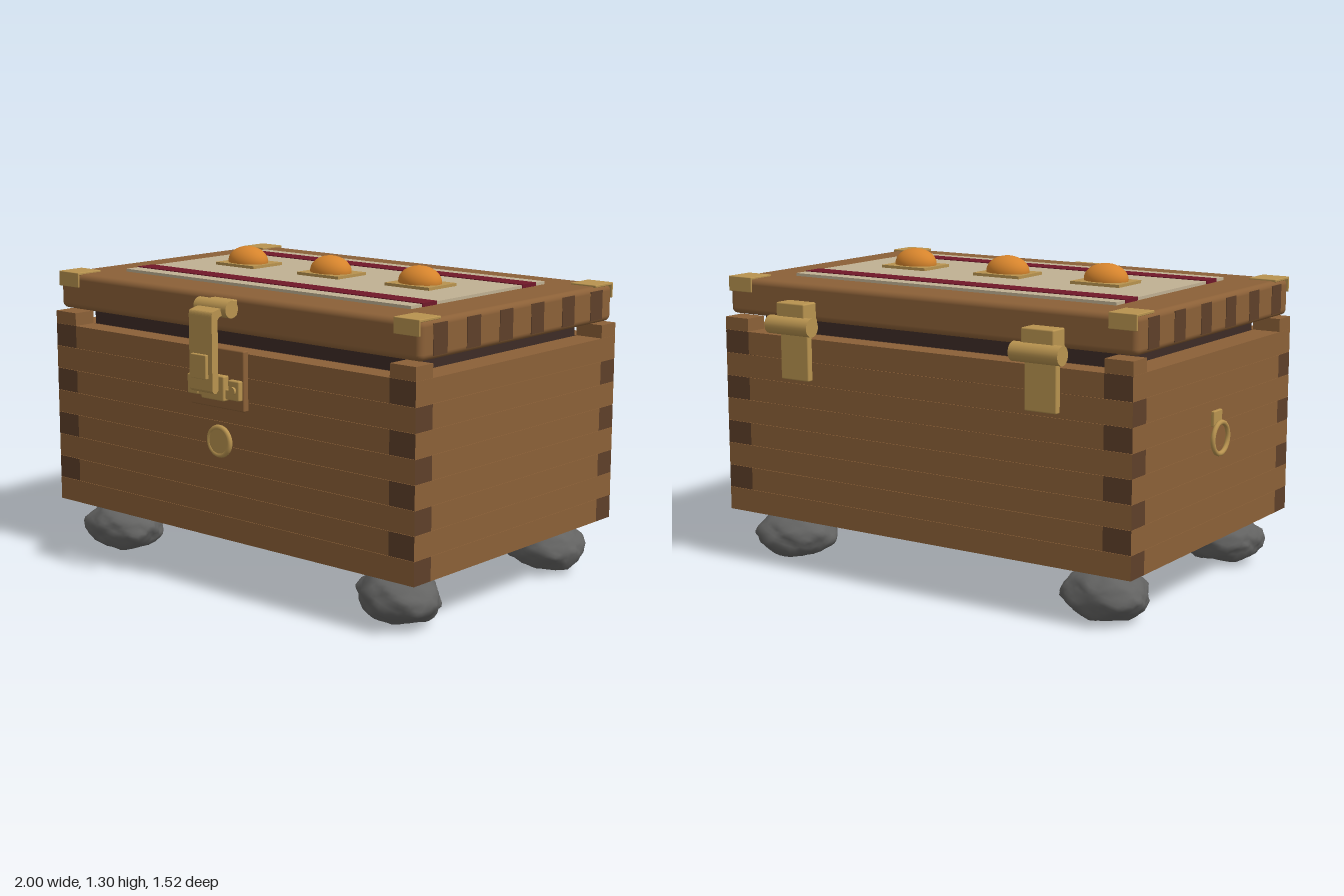
import * as THREE from 'three';
import { RoundedBoxGeometry } from 'three/addons/geometries/RoundedBoxGeometry.js';
import { mergeVertices } from 'three/addons/utils/BufferGeometryUtils.js';

const mat = (name, color) => {
  const m = new THREE.MeshStandardMaterial({ color });
  m.name = name;
  return m;
};

export function createModel() {
  const wood = mat('wood', 0x8b6037);
  const endGrain = mat('end grain', 0x5e4029);
  const shadowWood = mat('collar wood', 0x3d2b26);
  const brass = mat('brass', 0xb8934f);
  const cloth = mat('cloth', 0xc0b092);
  const red = mat('red stripe', 0x701729);
  const amber = mat('amber', 0xd6842c);
  const stone = mat('stone', 0x636362);

  const root = new THREE.Group();
  root.name = 'chest';
  const group = (name) => {
    const g = new THREE.Group();
    g.name = name;
    root.add(g);
    return g;
  };
  const add = (parent, name, geo, material, x = 0, y = 0, z = 0) => {
    const m = new THREE.Mesh(geo, material);
    m.name = name;
    m.position.set(x, y, z);
    parent.add(m);
    return m;
  };
  // Box given by its min and max on each axis, optionally with rounded edges
  const box = (parent, name, material, x0, x1, y0, y1, z0, z1, r = 0) => {
    const s = [x1 - x0, y1 - y0, z1 - z0];
    const geo = r ? new RoundedBoxGeometry(...s, 3, r) : new THREE.BoxGeometry(...s);
    return add(parent, name, geo, material, (x0 + x1) / 2, (y0 + y1) / 2, (z0 + z1) / 2);
  };
  const rod = (parent, name, material, r, len, axis, x, y, z, seg = 24) => {
    const geo = new THREE.CylinderGeometry(r, r, len, seg);
    if (axis === 'x') geo.rotateZ(Math.PI / 2);
    if (axis === 'z') geo.rotateX(Math.PI / 2);
    return add(parent, name, geo, material, x, y, z);
  };

  // Outer limits of the body
  const L = -0.965, R = 0.997, F = 0.63, B = -0.68, TX = 0.122, TZ = 0.1;
  const Y0 = 0.22, P = 0.0965, gap = 0.0006;

  // Interlocking plank walls with hairline seams around a core
  const body = group('body');
  box(body, 'core', endGrain, L + 0.004, R - 0.004, Y0 + 0.003, 0.99, B + 0.004, F - 0.004);
  const endsX = [endGrain, endGrain, wood, wood, wood, wood];
  const endsZ = [wood, wood, wood, wood, endGrain, endGrain];
  for (let i = 0; i < 8; i++) {
    const a = Y0 + i * P + (i ? gap : 0), b = Y0 + (i + 1) * P - gap;
    const long = i % 2 === 0;
    const ix = long ? 0 : TX, iz = long ? TZ : 0;
    box(body, 'frontPlank', long ? endsX : wood, L + ix, R - ix, a, b, F - TZ, F);
    box(body, 'backPlank', long ? endsX : wood, L + ix, R - ix, a, b, B, B + TZ);
    box(body, 'leftPlank', long ? wood : endsZ, R - TX, R, a, b, B + iz, F - iz);
    box(body, 'rightPlank', long ? wood : endsZ, L, L + TX, a, b, B + iz, F - iz);
  }
  for (const x of [L, R - TX]) for (const z of [B, F - TZ])
    box(body, 'cornerPost', wood, x, x + TX, 0.992, 1.046, z, z + TZ);
  box(body, 'collar', shadowWood, L + 0.122, R - 0.122, 0.98, 1.05, -0.565, 0.517);

  // Base board
  box(group('base'), 'baseBoard', wood, -0.885, 0.915, 0.184, 0.222, -0.58, 0.535, 0.012);

  // Rough stone feet: rounded lumps with a few sizes of bump
  const rock = (seed) => {
    const ball = new THREE.IcosahedronGeometry(1, 7);
    ball.deleteAttribute('uv');
    ball.deleteAttribute('normal');
    const geo = mergeVertices(ball);
    const p = geo.attributes.position, v = new THREE.Vector3();
    const bump = (f, s) => Math.sin(f * v.x + s) * Math.sin(f * v.y + 1.7 * s) * Math.sin(f * v.z + 2.3 * s);
    for (let i = 0; i < p.count; i++) {
      v.fromBufferAttribute(p, i).normalize();
      const k = 1.02 + 0.1 * bump(2.6, seed) + 0.06 * bump(6, seed + 1) + 0.04 * bump(12, seed + 2);
      p.setXYZ(i, v.x * k * 0.178, v.y * k * 0.1, v.z * k * 0.148);
    }
    geo.computeVertexNormals();
    geo.computeBoundingBox();
    return geo.translate(0, -geo.boundingBox.min.y, 0);
  };
  const feet = group('feet');
  [[-0.757, 0.455], [0.787, 0.455], [-0.757, -0.505], [0.787, -0.505]].forEach(([x, z], i) =>
    add(feet, 'stoneFoot', rock(1 + i * 1.7), stone, x, 0, z));

  // Lid with dark joints on both ends
  const lid = group('lid');
  box(lid, 'lidSlab', wood, L, R, 1.057, 1.208, -0.65, 0.603, 0.025);
  for (const z of [0.49, 0.288, 0.083, -0.122, -0.333, -0.533])
    for (const x of [L, R])
      box(lid, 'lidJoint', endGrain, x - 0.002, x + 0.002, 1.073, 1.192, z - 0.042, z + 0.042);

  // Brass corner caps: top plate with flaps folded over the edge
  for (const x of [L, R - 0.124]) for (const s of [1, -1]) {
    const edge = s > 0 ? 0.61 : -0.657, inner = edge - s * 0.128;
    const x1 = x + 0.122;
    box(lid, 'cornerCap', brass, x, x1, 1.204, 1.215, Math.min(edge, inner), Math.max(edge, inner), 0.003);
    const e2 = edge - s * 0.008;
    box(lid, 'cornerFlap', brass, x, x1, 1.152, 1.214, Math.min(edge, e2), Math.max(edge, e2), 0.003);
  }

  // Striped runner on the lid, the stripes wrapping its short ends
  const runner = group('runner');
  box(runner, 'cloth', cloth, -0.765, 0.79, 1.203, 1.22, -0.465, 0.405);
  for (const [a, b] of [[-0.4, -0.308], [0.25, 0.338]])
    box(runner, 'stripe', red, -0.767, 0.792, 1.204, 1.223, a, b);

  // Three mounted amber stones
  const gems = group('gems');
  for (const x of [-0.46, 0.015, 0.489]) {
    box(gems, 'gemPlate', brass, x - 0.113, x + 0.113, 1.215, 1.232, -0.12, 0.058);
    const g = add(gems, 'gem', new THREE.SphereGeometry(1, 32, 20), amber, x, 1.238, -0.028);
    g.scale.set(0.096, 0.064, 0.073);
  }

  // Front latch
  const latch = group('latch');
  box(latch, 'backPlate', wood, -0.132, 0.162, 0.763, 1.005, 0.625, 0.655, 0.006);
  box(latch, 'catchBar', brass, -0.132, 0.155, 0.808, 0.848, 0.65, 0.672, 0.005);
  for (const x of [-0.1, 0.125]) {
    box(latch, 'catchLug', brass, x - 0.03, x + 0.03, 0.808, 0.888, 0.65, 0.676, 0.006);
    rod(latch, 'catchBolt', brass, 0.016, 0.012, 'z', x, 0.848, 0.68, 16);
  }
  box(latch, 'staple', brass, -0.045, 0.08, 0.8, 0.9, 0.65, 0.684, 0.006);
  box(latch, 'lidMount', brass, -0.045, 0.08, 1.13, 1.195, 0.598, 0.64, 0.006);
  rod(latch, 'latchBarrel', brass, 0.035, 0.176, 'x', 0.018, 1.165, 0.66);
  // Hasp strip bends forward from the barrel, then hangs straight down
  const h = new THREE.Shape();
  h.moveTo(0.66, 1.178);
  h.lineTo(0.735, 1.162);
  h.quadraticCurveTo(0.745, 1.16, 0.745, 1.14);
  h.lineTo(0.745, 0.85);
  h.quadraticCurveTo(0.728, 0.825, 0.712, 0.85);
  h.lineTo(0.712, 1.125);
  h.quadraticCurveTo(0.71, 1.14, 0.66, 1.15);
  const hasp = new THREE.ExtrudeGeometry(h, { depth: 0.125, bevelEnabled: false, curveSegments: 8 });
  hasp.rotateY(-Math.PI / 2); // profile x becomes z, thickness runs to -x
  add(latch, 'hasp', hasp, brass, 0.08, 0, 0);
  box(latch, 'haspStud', brass, -0.026, 0.058, 0.895, 0.992, 0.74, 0.759, 0.004);

  // Round lock button
  const lock = group('lock');
  rod(lock, 'lockDisc', brass, 0.052, 0.026, 'z', 0.015, 0.625, 0.638, 32);
  add(lock, 'lockRim', new THREE.TorusGeometry(0.056, 0.011, 10, 36), brass, 0.015, 0.625, 0.643);

  // Pull ring on the right end
  const ring = group('pullRing');
  box(ring, 'ringPlate', brass, -0.979, -0.963, 0.695, 0.758, -0.065, 0.005, 0.004);
  const loop = add(ring, 'ring', new THREE.TorusGeometry(0.063, 0.01, 10, 36), brass, -0.99, 0.648, -0.03);
  loop.rotation.y = Math.PI / 2;

  // Back hinges
  const hinges = group('hinges');
  for (const x of [-0.58, 0.608]) {
    rod(hinges, 'hingeBarrel', brass, 0.038, 0.218, 'x', x, 1.045, -0.721);
    box(hinges, 'upperLeaf', brass, x - 0.072, x + 0.072, 1.05, 1.138, -0.727, -0.64, 0.006);
    box(hinges, 'lowerLeaf', brass, x - 0.072, x + 0.072, 0.818, 1.045, -0.705, -0.675, 0.006);
  }
  return root;
}
